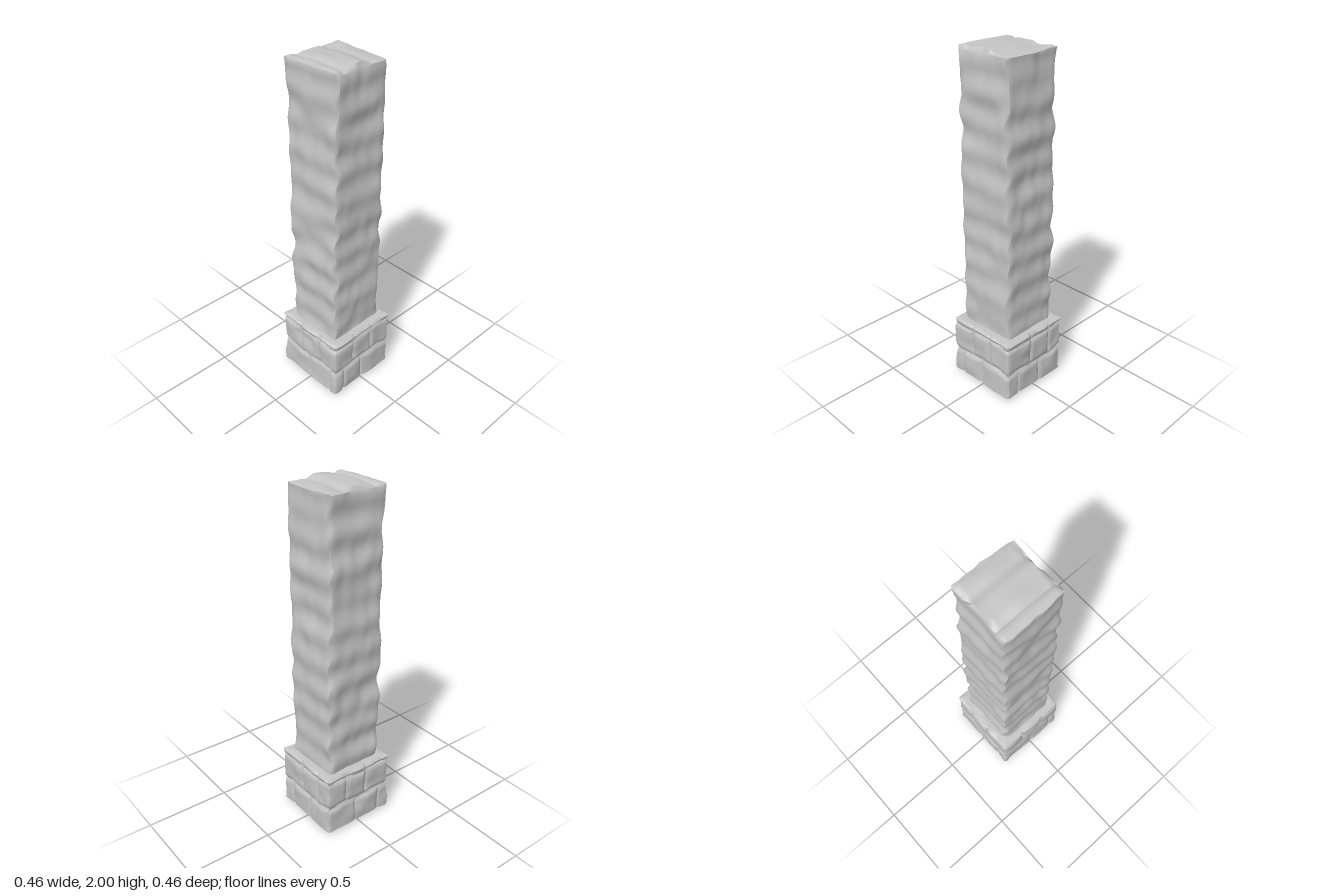
import * as THREE from 'three';
import { mergeVertices, toCreasedNormals } from 'three/addons/utils/BufferGeometryUtils.js';

const stone = new THREE.MeshStandardMaterial({ color: 0xc4c4c4 });
stone.name = 'grey stone';

// seeded smooth value noise, -1..1
function hash(i, j, k) {
  const s = Math.sin(i * 127.1 + j * 311.7 + k * 74.7 + 5.3) * 43758.5453;
  return (s - Math.floor(s)) * 2 - 1;
}
function noise(x, y, z) {
  const f = [x, y, z].map(Math.floor);
  const t = [x, y, z].map((v, i) => (v - f[i]) ** 2 * (3 - 2 * (v - f[i])));
  let sum = 0;
  for (let c = 0; c < 8; c++) {
    const b = [c & 1, (c >> 1) & 1, c >> 2];
    const w = b.reduce((p, bit, i) => p * (bit ? t[i] : 1 - t[i]), 1);
    sum += w * hash(f[0] + b[0], f[1] + b[1], f[2] + b[2]);
  }
  return sum;
}
// narrow dip of unit depth around d = 0
const groove = (d, width) => -Math.exp(-((d / width) ** 2));

// finely divided box whose faces are moved along their normals by relief(axis, point)
function carvedBox(size, segments, centerY, round, relief) {
  let geo = new THREE.BoxGeometry(...size, ...segments);
  geo.deleteAttribute('uv');
  geo.deleteAttribute('normal');
  geo.clearGroups();
  geo = mergeVertices(geo, 1e-4);
  const pos = geo.attributes.position;
  for (let i = 0; i < pos.count; i++) {
    const p = [pos.getX(i), pos.getY(i), pos.getZ(i)];
    const on = p.map((v, a) => Math.abs(v) > size[a] / 2 - 1e-4);
    const worn = on.filter(Boolean).length > 1 ? round : 0;
    const world = [p[0], p[1] + centerY, p[2]];
    const q = p.map((v, a) => (on[a] ? v + Math.sign(v) * (relief(a, world) - worn) : v));
    pos.setXYZ(i, q[0], q[1] + centerY, q[2]);
  }
  return toCreasedNormals(geo, 0.75);
}

// rough shaft: wavy courses up the sides, stepped ridges across the top
function shaftRelief(axis, [x, y, z]) {
  if (axis === 1) {
    return 0.008 * noise(x * 7, 2, z * 12) + 0.016 * groove(z - 0.11, 0.012)
      + 0.016 * groove(z + 0.06, 0.02) - (z < -0.06 ? 0.012 : 0);
  }
  const along = axis === 0 ? z : x;
  const side = axis === 0 ? Math.sign(x) * 3 : Math.sign(z) * 7;
  return 0.010 * noise(along * 5, y * 9, side) + 0.005 * noise(along * 22, y * 9, side + 20)
    + 0.005 * Math.sin(y * 38 + side);
}

// base blocks: two staggered courses of bricks beneath a lip
function baseRelief(axis, [x, y, z]) {
  const rough = 0.007 * noise(x * 13, y * 13, z * 13);
  if (axis === 1) {
    if (y > 0.2) return 0.6 * rough;
    const row = Math.floor((z + 0.3) / 0.15);
    const shift = row % 2 ? 0.1 : 0;
    return rough + 0.012 * Math.min(groove(((z + 0.3) % 0.15) - 0.075, 0.012), groove(x - shift, 0.012));
  }
  const along = axis === 0 ? z : x;
  const side = axis === 0 ? Math.sign(x) : 2 * Math.sign(z);
  const wobble = 0.012 * noise(along * 9, side, 4);
  const joints = y > 0.18 ? [-0.09, 0.06] : [-0.01, 0.15];
  const dips = joints.map((j) => groove(along - j - side * 0.01 - wobble, 0.009));
  dips.push(1.2 * groove(y - 0.18 - wobble, 0.014));
  if (y > 0.31) dips.push(groove(y - 0.352 - wobble * 0.5, 0.009));
  return rough + 0.011 * Math.min(...dips) + 0.004;
}

export function createModel() {
  const model = new THREE.Group();
  model.name = 'stonePillar';
  const add = (name, geometry) => {
    const mesh = new THREE.Mesh(geometry, stone);
    mesh.name = name;
    model.add(mesh);
  };
  add('shaft', carvedBox([0.35, 1.65, 0.35], [18, 80, 18], 1.17, 0.006, shaftRelief));
  add('brickBase', carvedBox([0.44, 0.375, 0.44], [44, 38, 44], 0.198, 0.006, baseRelief));
  return model;
}
